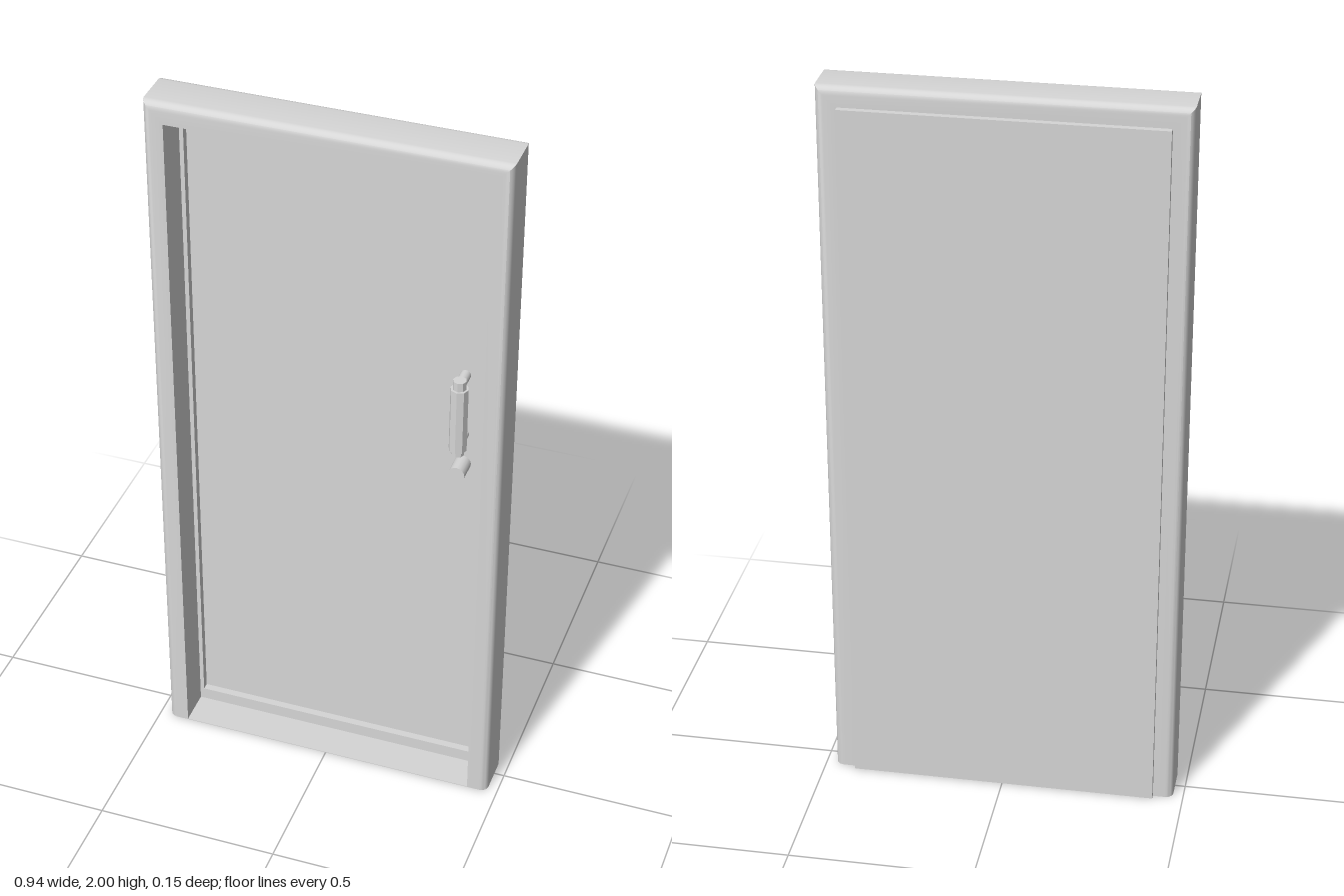
import * as THREE from 'three';
import { toCreasedNormals } from 'three/addons/utils/BufferGeometryUtils.js';

const W = 0.472, H = 2, FRONT = 0.077, BACK = -0.06, R = 0.022, RIM = 0.056, SILL = 0.002;
const PANEL = -0.042, BORDER = 0.02;

// Frame cross-section as [inset from the outer edge, z], outer edges rounded
function frameProfile() {
  const pts = [[RIM, FRONT]];
  const steps = 6;
  for (let i = 0; i <= steps; i++) {
    const a = (i / steps) * Math.PI / 2;
    pts.push([R - R * Math.sin(a), FRONT - R + R * Math.cos(a)]);
  }
  for (let i = 0; i <= steps; i++) {
    const a = (i / steps) * Math.PI / 2;
    pts.push([R - R * Math.cos(a), BACK + R - R * Math.sin(a)]);
  }
  pts.push([RIM, BACK], [RIM, FRONT]);
  return pts;
}

// Sweep the section up one jamb, across the head and down the other, with mitres
function frameGeometry() {
  const profile = frameProfile();
  const path = ([d, z]) => [
    [-W + d, SILL, z], [-W + d, H - d, z], [W - d, H - d, z], [W - d, SILL, z],
  ];
  const pos = [];
  for (let j = 0; j < profile.length - 1; j++) {
    const p = path(profile[j]), q = path(profile[j + 1]);
    for (let i = 0; i < 3; i++) {
      pos.push(...p[i], ...p[i + 1], ...q[i + 1], ...p[i], ...q[i + 1], ...q[i]);
    }
  }
  const g = new THREE.BufferGeometry();
  g.setAttribute('position', new THREE.Float32BufferAttribute(pos, 3));
  return toCreasedNormals(g, 0.6);
}

// Thin threshold plate with the same rounded footprint as the jambs
function sillGeometry() {
  const s = new THREE.Shape();
  const y0 = -FRONT, y1 = -BACK;
  s.moveTo(-W + R, y0);
  s.lineTo(W - R, y0);
  s.absarc(W - R, y0 + R, R, -Math.PI / 2, 0);
  s.absarc(W - R, y1 - R, R, 0, Math.PI / 2);
  s.absarc(-W + R, y1 - R, R, Math.PI / 2, Math.PI);
  s.absarc(-W + R, y0 + R, R, Math.PI, Math.PI * 1.5);
  const g = new THREE.ExtrudeGeometry(s, { depth: SILL, bevelEnabled: false, curveSegments: 6 });
  return toCreasedNormals(g.rotateX(-Math.PI / 2), 0.6);
}

// Raised border around the front face of the door leaf
function borderGeometry() {
  const rect = (C, x0, x1, y0, y1) => {
    const p = new C();
    p.moveTo(x0, y0);
    p.lineTo(x1, y0);
    p.lineTo(x1, y1);
    p.lineTo(x0, y1);
    p.closePath();
    return p;
  };
  const s = rect(THREE.Shape, -0.417, 0.417, SILL, 1.946);
  s.holes.push(rect(THREE.Path, -0.405, 0.4, 0.037, 1.913));
  return new THREE.ExtrudeGeometry(s, { depth: BORDER, bevelEnabled: false });
}

export function createModel() {
  const grey = new THREE.MeshStandardMaterial({ color: 0xd6d6d6 });
  grey.name = 'plain grey';
  const model = new THREE.Group();
  model.name = 'door';

  const add = (name, geometry, x = 0, y = 0, z = 0, parent = model) => {
    const mesh = new THREE.Mesh(geometry, grey);
    mesh.name = name;
    mesh.position.set(x, y, z);
    parent.add(mesh);
    return mesh;
  };
  // Upright faceted rod, and a round peg pointing forward
  const rod = (r, len) => toCreasedNormals(new THREE.CylinderGeometry(r, r, len, 8), 0.6);
  const peg = (r, len) => new THREE.CylinderGeometry(r, r, len, 16).rotateX(Math.PI / 2);

  add('frame', frameGeometry());
  add('threshold', sillGeometry());

  // Door leaf standing slightly proud of the back of the frame
  const thick = PANEL + 0.077;
  add('doorLeaf', new THREE.BoxGeometry(0.832, 1.945, thick), -0.002, 0.975, PANEL - thick / 2);
  add('doorBorder', borderGeometry(), 0, 0, PANEL);

  // Pull handle: thick grip on a thinner bar, held by two posts
  const handle = new THREE.Group();
  handle.name = 'handle';
  handle.position.set(0.337, 0, 0.01);
  model.add(handle);
  add('handleBar', rod(0.018, 0.23), 0, 1.202, 0, handle);
  add('handleGrip', rod(0.024, 0.19), 0, 1.197, 0, handle);
  for (const y of [1.115, 1.3]) {
    add('handlePost', peg(0.014, 0.052), 0, y, -0.026, handle);
  }

  // Lock cylinder under the handle
  add('lockCylinder', peg(0.022, 0.06), 0.337, 1.022, -0.015);

  return model;
}
